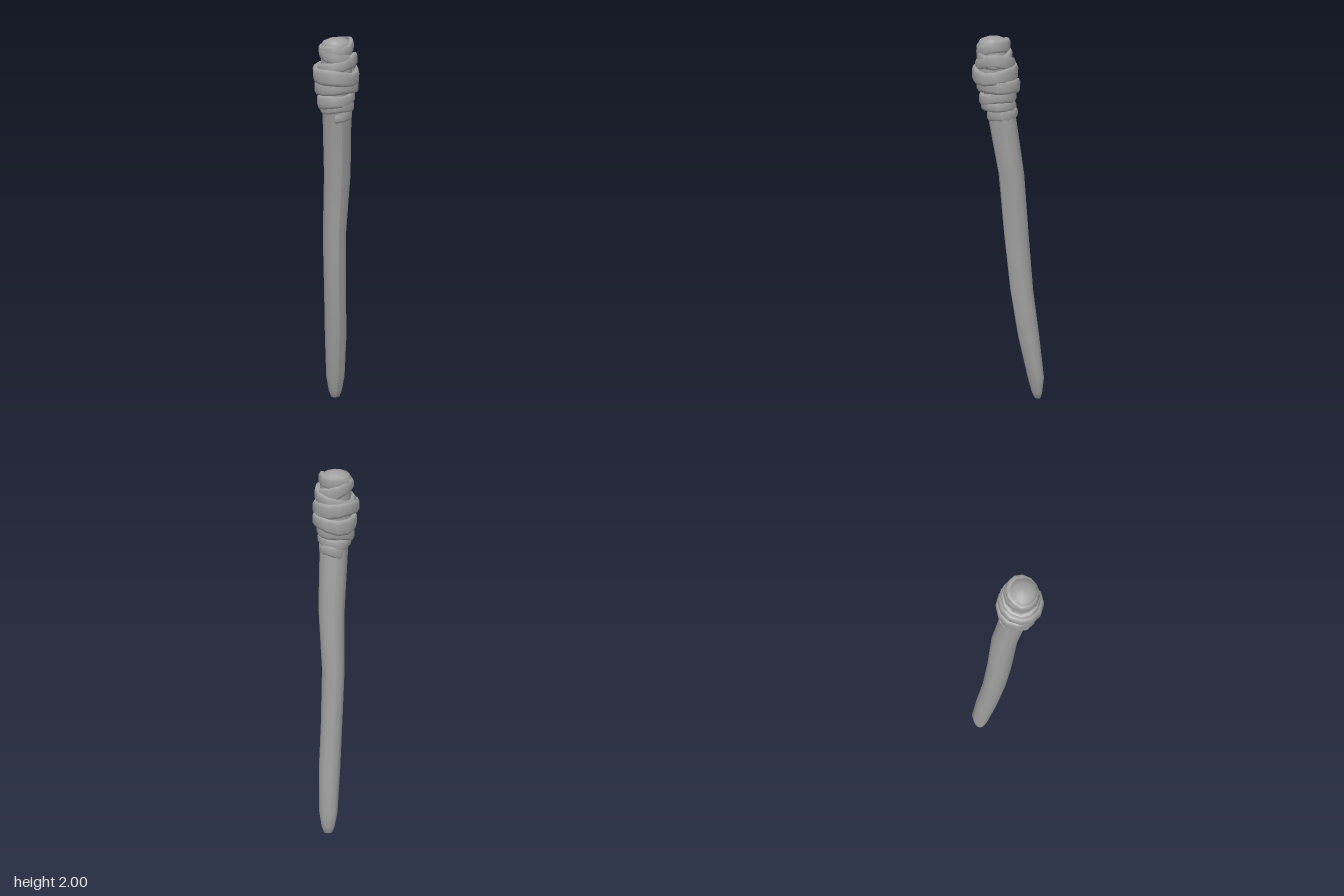
import * as THREE from 'three';
import { mergeVertices } from 'three/addons/utils/BufferGeometryUtils.js';

// One horizontal ring of points, starting and ending at the front.
function ring(n, cx, cz, rx, rz, height) {
  return Array.from({ length: n + 1 }, (_, j) => {
    const a = ((j % n) / n) * Math.PI * 2;
    return new THREE.Vector3(cx + rx * Math.sin(a), height(a), cz + rz * Math.cos(a));
  });
}

// Skin over rings listed from bottom to top.
function loft(rings, weld) {
  const n = rings[0].length;
  const index = [];
  for (let i = 0; i < rings.length - 1; i++) {
    for (let j = 0; j < n - 1; j++) {
      const a = i * n + j, b = a + 1, c = a + n, d = c + 1;
      index.push(a, b, c, b, d, c);
    }
  }
  let geo = new THREE.BufferGeometry().setFromPoints(rings.flat());
  geo.setIndex(index);
  if (weld) geo = mergeVertices(geo);
  geo.computeVertexNormals();
  return geo;
}

export function createModel() {
  const group = new THREE.Group();
  group.name = 'torch';
  const grey = new THREE.MeshStandardMaterial({ color: 0xa0a0a0, side: THREE.DoubleSide });
  grey.name = 'plain grey';

  const add = (name, geo) => {
    const mesh = new THREE.Mesh(geo, grey);
    mesh.name = name;
    group.add(mesh);
  };

  // Bent wooden handle with a seam down the front: y, left, right, back, front
  const handle = [
    [0.0, 0.07, 0.072, -0.152, -0.15],
    [0.006, 0.05, 0.095, -0.167, -0.137],
    [0.04, 0.036, 0.108, -0.176, -0.122],
    [0.12, 0.02, 0.12, -0.186, -0.1],
    [0.35, 0.0, 0.116, -0.164, -0.048],
    [0.6, -0.016, 0.1, -0.137, -0.01],
    [0.9, -0.032, 0.09, -0.117, 0.02],
    [1.24, -0.038, 0.105, -0.085, 0.053],
    [1.55, -0.062, 0.092, -0.046, 0.106],
    [1.75, -0.08, 0.088, -0.025, 0.14],
  ];
  add('handle', loft(handle.map(([y, l, r, b, f]) =>
    ring(10, (l + r) / 2, (b + f) / 2, (r - l) / 2, (f - b) / 2, () => y)), false));

  // Rounded padding core under the wrapping
  const core = [[1.72, 0.08], [1.85, 0.084], [1.955, 0.087], [1.982, 0.072], [1.996, 0.04], [2.0, 0.001]];
  add('headCore', loft(core.map(([y, r]) => ring(12, -0.004, 0.073, r, r, () => y)), true));

  // Cloth wraps: y, height, x, z, radius x, radius z, tilt along x, tilt along z, wave phase
  const wraps = [
    [1.575, 0.062, 0.02, 0.031, 0.075, 0.085, 0.008, 0.0, 0],
    [1.622, 0.06, 0.008, 0.048, 0.092, 0.096, 0.006, 0.01, 2],
    [1.67, 0.068, 0.002, 0.05, 0.104, 0.1, 0.016, -0.006, 4],
    [1.735, 0.08, 0.006, 0.048, 0.121, 0.116, 0.008, 0.01, 1],
    [1.803, 0.08, -0.003, 0.063, 0.127, 0.123, -0.004, -0.014, 3],
    [1.852, 0.068, 0.002, 0.065, 0.112, 0.106, 0.028, 0.012, 5],
    [1.9, 0.07, 0.003, 0.07, 0.104, 0.096, -0.026, -0.012, 2],
    [1.945, 0.066, -0.003, 0.073, 0.094, 0.091, 0.016, -0.01, 4],
  ];
  // Bulging cloth profile: height fraction, inset from the outer radius
  const profile = [[-0.42, 0.026], [-0.5, 0.009], [-0.3, 0.001], [0.25, 0], [0.48, 0.008], [0.44, 0.026]];
  wraps.forEach(([y, h, x, z, rx, rz, tx, tz, phase], i) => {
    const rings = profile.map(([t, inset]) => ring(12, x, z, rx - inset, rz - inset, (a) => {
      const width = h * (1 + 0.12 * Math.sin(2 * a + phase));
      return y + t * width + tx * Math.sin(a) + tz * Math.cos(a) + 0.005 * Math.sin(3 * a + phase);
    }));
    add('clothWrap' + (i + 1), loft(rings, true));
  });

  return group;
}
